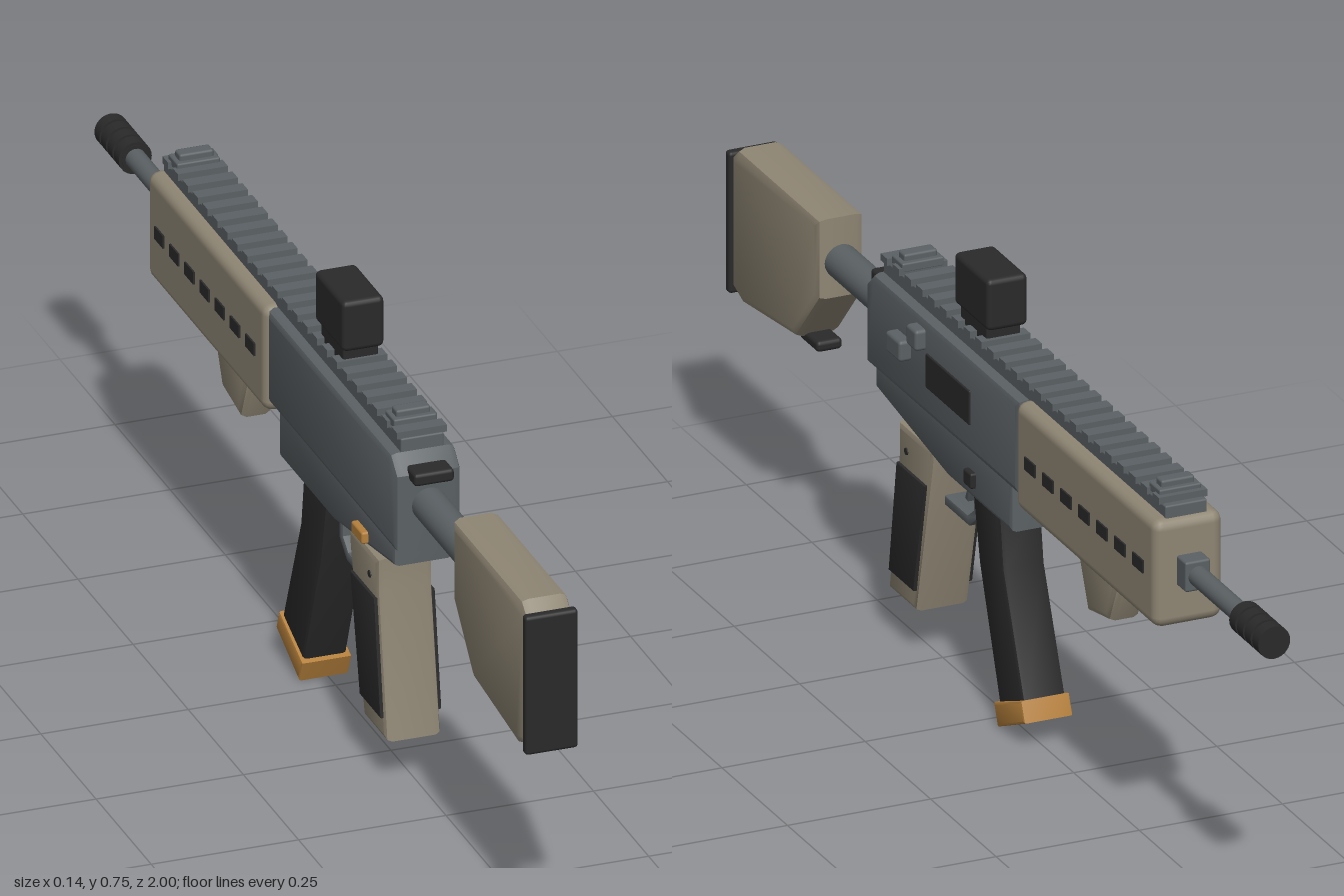
import * as THREE from 'three';
import { toCreasedNormals } from 'three/addons/utils/BufferGeometryUtils.js';
import { RoundedBoxGeometry } from 'three/addons/geometries/RoundedBoxGeometry.js';

const CX = -0.007; // centre plane of the body

const material = (name, color) => {
  const m = new THREE.MeshStandardMaterial({ color });
  m.name = name;
  return m;
};

export function createModel() {
  const model = new THREE.Group();
  model.name = 'toyRifle';
  const metal = material('gunmetal', 0x5b6164);
  const tan = material('tan', 0x8f8674);
  const black = material('black', 0x2a2a2b);
  const brass = material('brass', 0xb5803c);

  const add = (name, geometry, mat, x = 0, y = 0, z = 0) => {
    const mesh = new THREE.Mesh(geometry, mat);
    mesh.name = name;
    mesh.position.set(x, y, z);
    model.add(mesh);
    return mesh;
  };

  // Side outline of [z, y] points, extruded across x with bevelled edges
  const prism = (name, points, width, bevel, mat, x = CX) => {
    const shape = new THREE.Shape(points.map(([z, y]) => new THREE.Vector2(z, y)));
    const g = new THREE.ExtrudeGeometry(shape, {
      depth: width - 2 * bevel, bevelEnabled: bevel > 0, bevelSize: bevel,
      bevelThickness: bevel, bevelOffset: -bevel, bevelSegments: 2,
    });
    g.translate(0, 0, -(width - 2 * bevel) / 2);
    g.rotateY(-Math.PI / 2);
    return add(name, toCreasedNormals(g, 0.5), mat, x);
  };

  // Rounded block given by its extents
  const block = (name, x0, x1, y0, y1, z0, z1, r, mat) => add(name,
    new RoundedBoxGeometry(x1 - x0, y1 - y0, z1 - z0, 2, r), mat,
    (x0 + x1) / 2, (y0 + y1) / 2, (z0 + z1) / 2);
  const centred = (name, w, ...rest) => block(name, CX - w / 2, CX + w / 2, ...rest);

  // Cylinder lying along z
  const rod = (name, r, z0, z1, y, mat, sides = 24) => add(name,
    new THREE.CylinderGeometry(r, r, z1 - z0, sides).rotateX(Math.PI / 2),
    mat, CX, y, (z0 + z1) / 2);

  // Stock
  prism('stock', [[0.987, 0.583], [0.963, 0.603], [0.652, 0.603], [0.652, 0.465],
    [0.743, 0.364], [0.947, 0.341], [0.987, 0.356]], 0.082, 0.014, tan);
  centred('buttPad', 0.09, 0.344, 0.589, 0.982, 1, 0.006, black);
  centred('slingLoop', 0.045, 0.352, 0.371, 0.695, 0.765, 0.007, black);
  rod('bufferTube', 0.029, 0.43, 0.67, 0.526, metal);

  // Receiver
  prism('upperReceiver', [[0.442, 0.446], [0.442, 0.582], [0.412, 0.61],
    [-0.145, 0.61], [-0.145, 0.446]], 0.112, 0.012, metal);
  prism('lowerReceiver', [[0.417, 0.46], [0.417, 0.412], [0.14, 0.367],
    [-0.107, 0.367], [-0.107, 0.46]], 0.1, 0.008, metal);
  centred('chargingHandle', 0.068, 0.572, 0.594, 0.425, 0.468, 0.006, black);
  block('ejectionPort', 0.046, 0.052, 0.497, 0.556, 0.037, 0.203, 0.002, black);
  block('forwardButton', 0.04, 0.067, 0.558, 0.594, 0.208, 0.246, 0.006, metal);
  block('rearButton', 0.04, 0.069, 0.517, 0.553, 0.265, 0.32, 0.006, metal);
  block('magazineButton', 0.036, 0.052, 0.388, 0.415, 0.03, 0.06, 0.004, black);
  block('selectorLever', -0.068, -0.05, 0.398, 0.419, 0.25, 0.3, 0.004, brass);

  // Handguard with vent plates on the sides and underneath
  centred('handguard', 0.121, 0.426, 0.613, -0.677, -0.14, 0.018, tan);
  for (let i = 0; i < 7; i++) {
    const z = -0.203 - i * 0.0687;
    for (const s of [-1, 1]) {
      add('sideVent', new THREE.BoxGeometry(0.008, 0.022, 0.04), black, CX + s * 0.0595, 0.521, z);
    }
    add('bottomVent', new THREE.BoxGeometry(0.05, 0.008, 0.04), black, CX, 0.425, z);
  }
  prism('foregrip', [[-0.298, 0.435], [-0.298, 0.424], [-0.342, 0.321],
    [-0.428, 0.337], [-0.468, 0.424], [-0.468, 0.435]], 0.056, 0.012, tan);

  // Barrel and muzzle
  centred('gasBlock', 0.044, 0.498, 0.55, -0.71, -0.66, 0.004, metal);
  rod('barrel', 0.017, -0.9, -0.67, 0.524, metal);
  rod('muzzleCore', 0.023, -0.995, -0.888, 0.524, black);
  for (let i = 0; i < 4; i++) {
    const z = -1 + i * 0.0293;
    rod('muzzleRing', 0.028, z, z + 0.023, 0.524, black);
  }

  // Top rail
  centred('railBase', 0.073, 0.6, 0.633, -0.665, 0.412, 0.003, metal);
  for (let i = 0; i < 24; i++) {
    const z = 0.397 - i * 0.0451;
    add('railTooth', new THREE.BoxGeometry(0.085, 0.012, 0.025), metal, CX, 0.638, z);
  }

  // Folded sights
  for (const z of [0.36, -0.622]) {
    centred('sightBase', 0.073, 0.636, 0.652, z - 0.021, z + 0.021, 0.003, metal);
    centred('sightBlade', 0.058, 0.645, 0.663, z - 0.012, z + 0.012, 0.004, metal);
  }

  // Optic
  centred('opticMount', 0.06, 0.632, 0.67, 0.032, 0.133, 0.004, black);
  centred('optic', 0.071, 0.662, 0.751, 0.016, 0.147, 0.009, black);

  // Pistol grip
  prism('grip', [[0.335, 0.385], [0.2, 0.385], [0.203, 0.355], [0.267, 0.08],
    [0.374, 0.08], [0.335, 0.33]], 0.094, 0.01, tan);
  for (const s of [-1, 1]) {
    prism('gripPanel', [[0.33, 0.316], [0.222, 0.316], [0.265, 0.117], [0.36, 0.117]],
      0.009, 0.002, black, CX + s * 0.0475);
    add('gripPin', new THREE.CylinderGeometry(0.006, 0.006, 0.004, 12).rotateZ(Math.PI / 2),
      black, CX + s * 0.047, 0.345, 0.3);
  }

  // Trigger and guard
  prism('triggerGuard', [[0.104, 0.372], [0.104, 0.316], [0.128, 0.298], [0.215, 0.298],
    [0.215, 0.282], [0.122, 0.282], [0.088, 0.308], [0.088, 0.372]], 0.04, 0.002, metal);
  prism('trigger', [[0.156, 0.372], [0.148, 0.34], [0.16, 0.314], [0.15, 0.311],
    [0.134, 0.34], [0.138, 0.372]], 0.02, 0.002, metal);

  // Curved magazine
  prism('magazine', [[0.075, 0.38], [0.072, 0.36], [0.048, 0.25], [-0.03, 0.035],
    [-0.126, 0.073], [-0.045, 0.275], [-0.03, 0.38]], 0.074, 0.007, black);
  prism('magazineBase', [[-0.02, 0.037], [-0.126, 0.081], [-0.14, 0.047],
    [-0.035, 0]], 0.085, 0.004, brass);

  return model;
}
